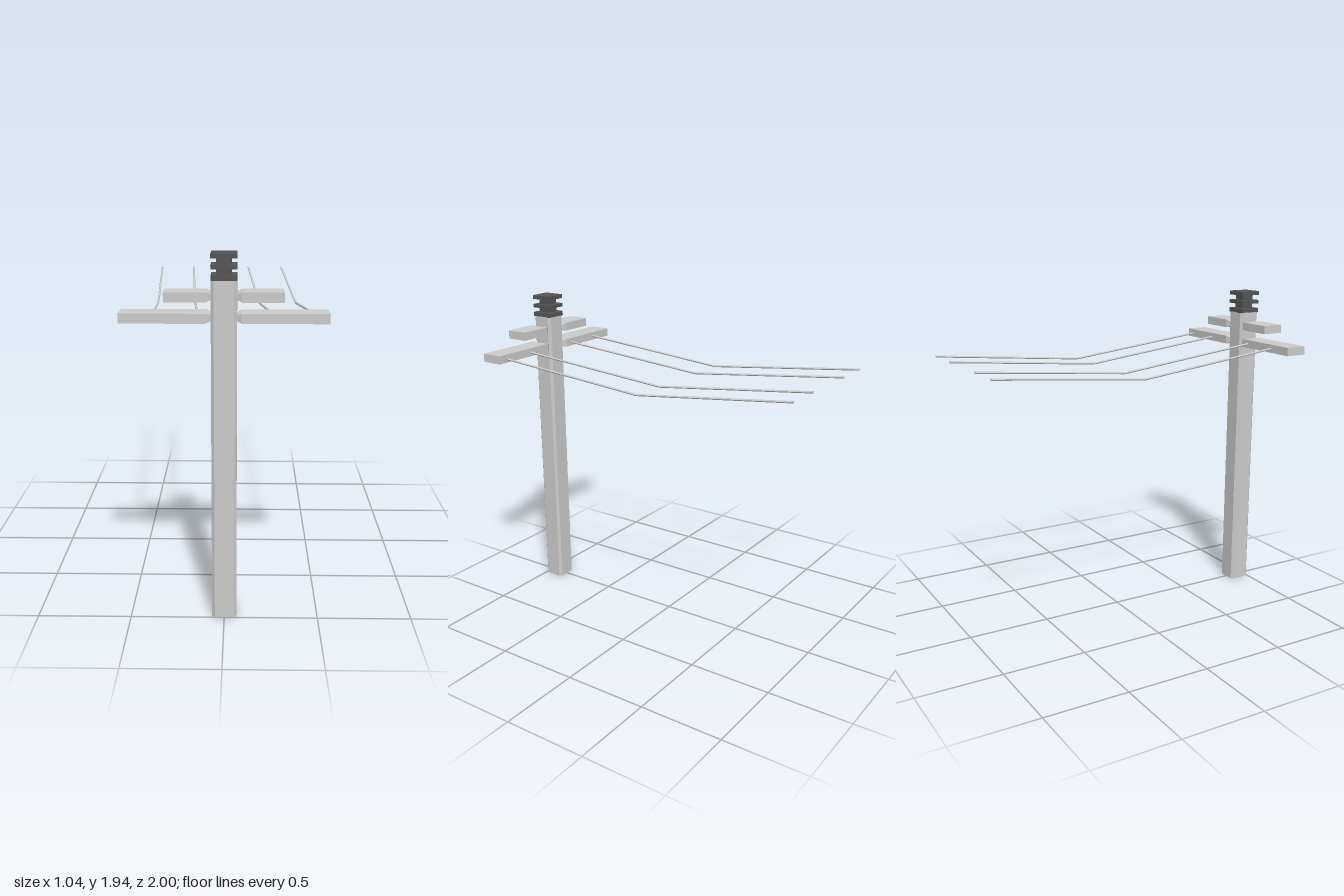
import * as THREE from 'three';

const grey = new THREE.MeshStandardMaterial({ color: 0xcccccc, flatShading: true });
const wireGrey = new THREE.MeshStandardMaterial({ color: 0xcccccc, flatShading: true, side: THREE.DoubleSide });
const dark = new THREE.MeshStandardMaterial({ color: 0x555555 });
const HALF = 0.065;   // half width of the pole
const POLE_Z = 0.935; // pole centre

function add(parent, name, geometry, material, x = 0, y = 0, z = 0) {
  const mesh = new THREE.Mesh(geometry, material);
  mesh.name = name;
  mesh.position.set(x, y, z);
  parent.add(mesh);
  return mesh;
}

// Square post with bevelled vertical edges, standing on y = 0
function postGeometry(half, bevel, height) {
  const s = half - bevel;
  const corners = [[half, -s], [half, s], [s, half], [-s, half], [-half, s], [-half, -s], [-s, -half], [s, -half]];
  const shape = new THREE.Shape(corners.map(([x, y]) => new THREE.Vector2(x, y)));
  return new THREE.ExtrudeGeometry(shape, { depth: height, bevelEnabled: false }).rotateX(-Math.PI / 2);
}

// Half crossarm running along +x, tapered where it enters the pole
function armGeometry(length, height) {
  const xs = [0.05, 0.09, length];
  const g = new THREE.BoxGeometry(2, height, HALF * 2, 2, 1, 1);
  const p = g.attributes.position;
  for (let i = 0; i < p.count; i++) {
    const station = Math.round(p.getX(i)) + 1;
    p.setX(i, xs[station]);
    if (station === 0) {
      p.setY(i, p.getY(i) * 0.3);
      p.setZ(i, p.getZ(i) * 0.65);
    }
  }
  g.computeVertexNormals();
  return g;
}

// Wire sagging to a single kink halfway
function wireGeometry(x0, xMid, x1) {
  const a = new THREE.Vector3(x0, 1.625, 0.88);
  const b = new THREE.Vector3(xMid, 1.53, -0.06);
  const c = new THREE.Vector3(x1, 1.625, -1);
  const path = new THREE.CurvePath();
  path.add(new THREE.LineCurve3(a, b));
  path.add(new THREE.LineCurve3(b, c));
  return new THREE.TubeGeometry(path, 2, 0.0065, 6, false);
}

export function createModel() {
  const model = new THREE.Group();
  model.name = 'utilityPole';

  add(model, 'pole', postGeometry(HALF, 0.015, 1.812), grey, 0, 0, POLE_Z);

  // Crossarms, one half on each side of the pole
  for (const [name, length, y] of [['upperArm', 0.297, 1.73], ['lowerArm', 0.522, 1.625]]) {
    const arm = new THREE.Group();
    arm.name = name;
    model.add(arm);
    add(arm, name + 'Left', armGeometry(length, 0.05), grey, 0, y, POLE_Z);
    add(arm, name + 'Right', armGeometry(length, 0.05), grey, 0, y, POLE_Z).rotation.y = Math.PI;
  }

  // Stacked insulator: square plates on a narrower core
  const insulator = new THREE.Group();
  insulator.name = 'insulator';
  model.add(insulator);
  add(insulator, 'insulatorCore', new THREE.BoxGeometry(0.075, 0.11, 0.075), dark, 0, 1.875, POLE_Z);
  for (const [low, high] of [[1.81, 1.837], [1.866, 1.887], [1.919, 1.943]]) {
    add(insulator, 'insulatorPlate', new THREE.BoxGeometry(HALF * 2, high - low, HALF * 2), dark, 0, (low + high) / 2, POLE_Z);
  }

  // Four wires running back from the lower arm
  const wires = [[-0.365, -0.42, -0.475], [-0.135, -0.195, -0.255], [0.25, 0.19, 0.13], [0.465, 0.412, 0.36]];
  for (const w of wires) add(model, 'wire', wireGeometry(...w), wireGrey);

  return model;
}
